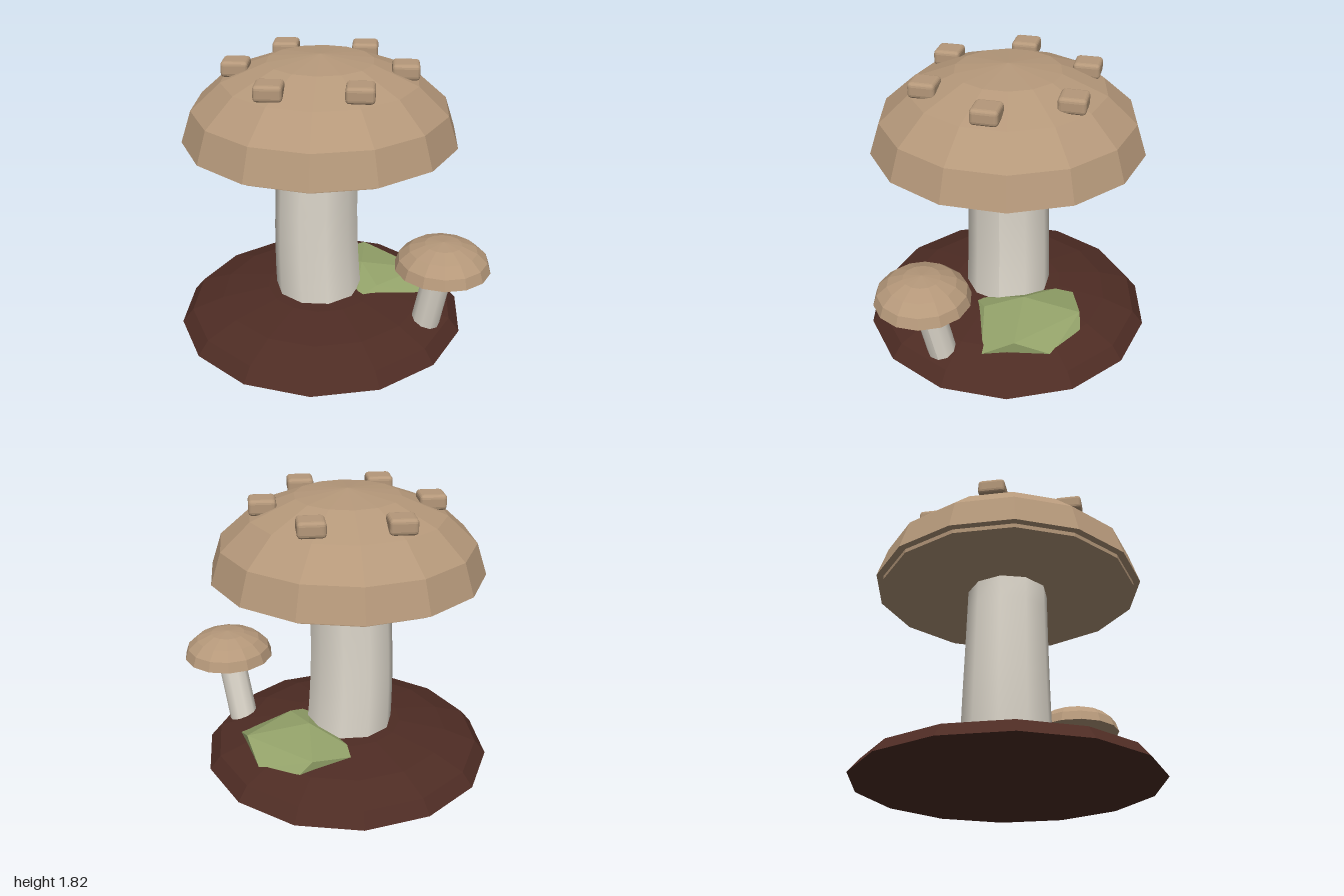
import * as THREE from 'three';
import { RoundedBoxGeometry } from 'three/addons/geometries/RoundedBoxGeometry.js';
import { ConvexGeometry } from 'three/addons/geometries/ConvexGeometry.js';

const material = (name, color, flatShading) => {
  const m = new THREE.MeshStandardMaterial({ color, flatShading });
  m.name = name;
  return m;
};

export function createModel() {
  const model = new THREE.Group();
  model.name = 'mushrooms';
  const tan = material('capTan', 0xb5987a, true);
  const cream = material('stemCream', 0xded8cc, false);
  const soil = material('soilBrown', 0x4e2c24, true);
  const green = material('mossGreen', 0x94a36a, true);
  const CX = -0.075; // axis of the mound and the large cap

  const add = (name, geometry, mat, x = 0, y = 0, z = 0) => {
    const mesh = new THREE.Mesh(geometry, mat);
    mesh.name = name;
    mesh.position.set(x, y, z);
    model.add(mesh);
    return mesh;
  };

  // Closed, squashed low-poly half sphere with 14 sides and four rings
  const dome = (radius, height) => {
    const profile = [new THREE.Vector2(0, 0)];
    for (let i = 0; i <= 4; i++) {
      const a = (i * Math.PI) / 8;
      profile.push(new THREE.Vector2(i === 4 ? 0 : radius * Math.cos(a), height * Math.sin(a)));
    }
    return new THREE.LatheGeometry(profile, 14);
  };

  // Tapered stem whose rings follow a curve; each point is [x, y, z, radius]
  const stem = (points, sides) => {
    const path = new THREE.CatmullRomCurve3(points.map(p => new THREE.Vector3(p[0], p[1], p[2])));
    const radii = new THREE.CatmullRomCurve3(points.map(p => new THREE.Vector3(p[3], 0, 0)));
    const geo = new THREE.CylinderGeometry(1, 1, 1, sides, 8);
    geo.rotateY(Math.PI / 2);
    const pos = geo.attributes.position;
    for (let i = 0; i < pos.count; i++) {
      const t = pos.getY(i) + 0.5;
      const c = path.getPoint(t), r = radii.getPoint(t).x;
      pos.setXYZ(i, c.x + pos.getX(i) * r, c.y, c.z + pos.getZ(i) * r);
    }
    geo.computeVertexNormals();
    return geo;
  };

  // Ground
  add('soilMound', dome(0.95, 0.23), soil, CX);

  // Large mushroom
  add('largeStem', stem([
    [-0.085, 0.003, 0, 0.292], [-0.108, 0.45, 0, 0.278],
    [-0.108, 0.85, 0.002, 0.267], [-0.09, 1.29, 0.003, 0.259],
  ], 10), cream);
  add('largeCap', dome(0.865, 0.52), tan, CX, 1.3);
  add('gillDisc', new THREE.CylinderGeometry(0.82, 0.82, 0.03, 14), tan, CX, 1.29);

  // Ring of six studs on the large cap
  for (let i = 0; i < 6; i++) {
    const a = (i * Math.PI) / 3;
    add('capStud', new RoundedBoxGeometry(0.168, 0.098, 0.168, 2, 0.025), tan,
      CX + 0.518 * Math.cos(a), 1.73, 0.518 * Math.sin(a) * 0.995);
  }

  // Small leaning mushroom
  add('smallStem', stem([
    [0.605, 0.003, 0.25, 0.096], [0.635, 0.2, 0.28, 0.095],
    [0.667, 0.4, 0.31, 0.094], [0.697, 0.585, 0.338, 0.093],
  ], 10), cream);
  add('smallCap', dome(0.3, 0.175), tan, 0.704, 0.568, 0.345);

  // Faceted moss patch lying against the large stem
  const moss = [
    [0.19, 0.285, -0.17], [0.6, 0.235, -0.2], [0.2, 0.235, -0.55], [0.3, 0.245, 0.07],
    [-0.15, 0.18, -0.43], [0.28, 0.16, -0.57], [0.53, 0.13, -0.43],
    [0.64, 0.14, 0.0], [0.17, 0.2, 0.17], [0.2, 0.08, -0.2],
  ].map(p => new THREE.Vector3(...p));
  add('mossPatch', new ConvexGeometry(moss), green);

  return model;
}
